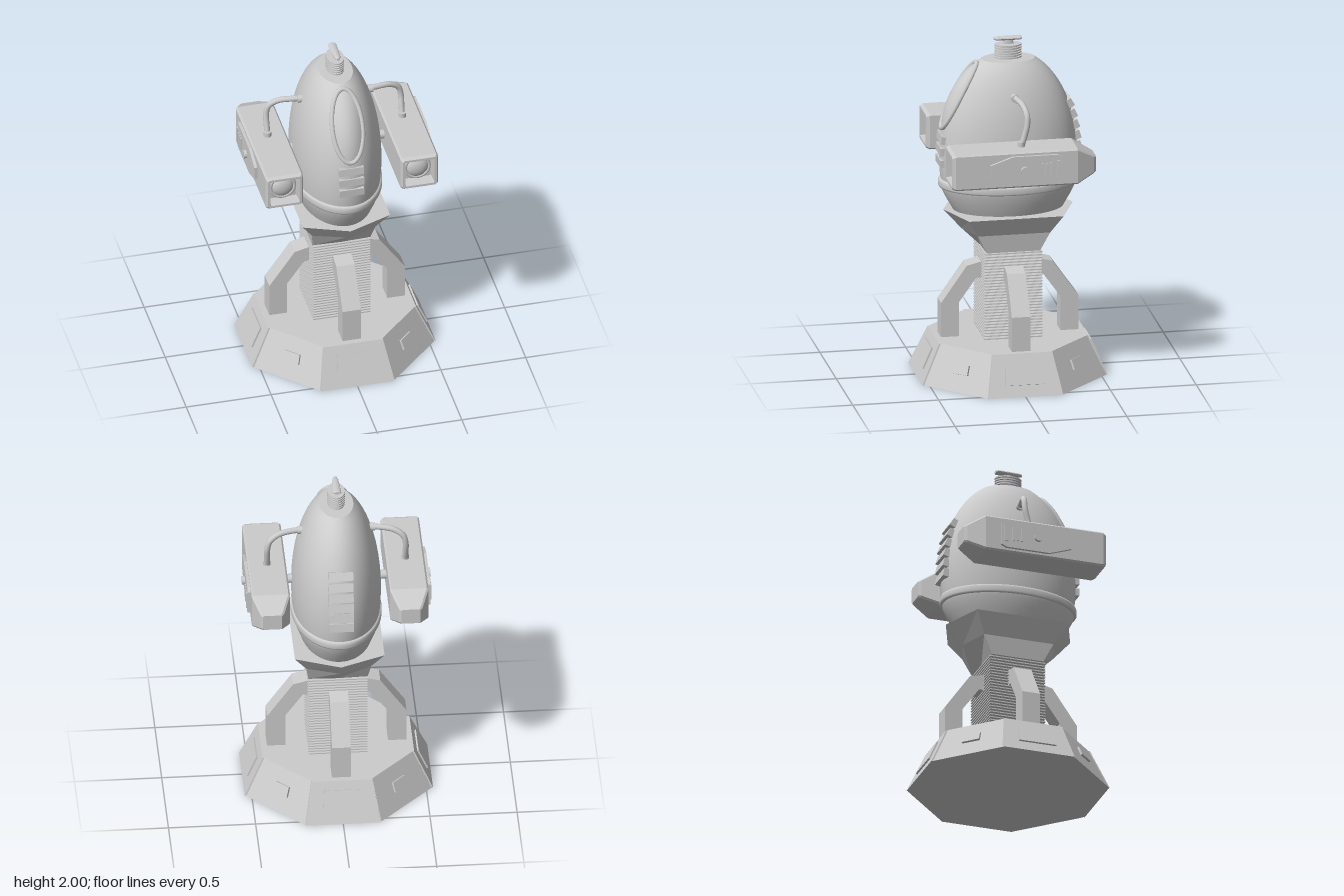
import * as THREE from 'three';

const smooth = new THREE.MeshStandardMaterial({ color: 0xcccccc });
const flat = new THREE.MeshStandardMaterial({ color: 0xcccccc, flatShading: true });
const thin = new THREE.MeshStandardMaterial({ color: 0xcccccc, side: THREE.DoubleSide });
const V = (x, y, z) => new THREE.Vector3(x, y, z);
const OVAL = 0.64; // body width relative to depth

function add(parent, name, geometry, material = flat, x = 0, y = 0, z = 0) {
  const mesh = new THREE.Mesh(geometry, material);
  mesh.name = name;
  mesh.position.set(x, y, z);
  parent.add(mesh);
  return mesh;
}

// Skin a stack of equal-length loops and cap both ends
function loft(loops) {
  const pos = [];
  const tri = (...p) => p.forEach((v) => pos.push(v.x, v.y, v.z));
  const n = loops[0].length;
  for (let i = 0; i < loops.length - 1; i++) {
    for (let j = 0; j < n; j++) {
      const k = (j + 1) % n;
      const [a, b, c, d] = [loops[i][j], loops[i][k], loops[i + 1][k], loops[i + 1][j]];
      tri(a, b, c);
      tri(a, c, d);
    }
  }
  const first = loops[0], last = loops[loops.length - 1];
  for (let j = 1; j < n - 1; j++) {
    tri(first[0], first[j + 1], first[j]);
    tri(last[0], last[j], last[j + 1]);
  }
  const g = new THREE.BufferGeometry();
  g.setAttribute('position', new THREE.Float32BufferAttribute(pos, 3));
  g.computeVertexNormals();
  return g;
}

function ovalLathe(points) {
  const g = new THREE.LatheGeometry(points.map(([r, y]) => new THREE.Vector2(r, y)), 64);
  return g.scale(OVAL, 1, 1);
}

// Egg profile: depth radius at a height, and front surface at (x, y)
const eggR = (y) => 0.4 * Math.sqrt(1 - ((y - 1.3) / 0.618) ** 2);
const eggZ = (x, y) => {
  const r = eggR(y);
  return r * Math.sqrt(Math.max(0, 1 - (x / (OVAL * r)) ** 2));
};
const eggTilt = (y) => Math.atan((eggR(y - 0.01) - eggR(y + 0.01)) / 0.02);

function buildBase(root) {
  const base = new THREE.Group();
  base.name = 'base';
  root.add(base);
  const k = 1 / Math.cos(Math.PI / 8);
  add(base, 'basePlinth', new THREE.CylinderGeometry(0.425 * k, 0.53 * k, 0.23, 8).rotateY(Math.PI / 8), flat, 0, 0.115, 0);
  for (let i = 0; i < 8; i++) {
    const face = new THREE.Group();
    face.name = 'baseFace';
    face.rotation.y = (i * Math.PI) / 4;
    base.add(face);
    const wide = i % 2 === 0;
    if (wide) {
      // Raised cladding on the four main faces
      const row = (y, w, z) => [V(-w, y, z - 0.03), V(w, y, z - 0.03), V(w, y, z), V(-w, y, z)].reverse();
      add(face, 'basePlate', loft([row(0, 0.215, 0.54), row(0.23, 0.175, 0.435)]));
    }
    const [w, h] = wide ? [0.112, 0.065] : [0.055, 0.03];
    const hatch = new THREE.Shape([[-w, -h], [w, -h], [w * 0.92, h], [-w * 0.92, h]].map((p) => new THREE.Vector2(...p)));
    const panel = add(face, 'basePanel', new THREE.ExtrudeGeometry(hatch, { depth: 0.02, bevelEnabled: false }), flat, 0, 0.118, wide ? 0.475 : 0.468);
    panel.rotation.x = -Math.atan(0.105 / 0.23);
  }

  // Bent support legs
  const leg = new THREE.Shape([[0.09, 0.58], [0.195, 0.575], [0.295, 0.435], [0.295, 0.22], [0.4, 0.22], [0.4, 0.435], [0.25, 0.65], [0.09, 0.69]]
    .map((p) => new THREE.Vector2(...p)));
  for (let i = 0; i < 4; i++) {
    const g = new THREE.ExtrudeGeometry(leg, { depth: 0.108, bevelEnabled: false }).translate(0, 0, -0.054);
    add(base, 'supportLeg', g).rotation.y = (i * Math.PI) / 2;
  }

  // Square bellows column
  add(base, 'bellowsCore', new THREE.BoxGeometry(0.22, 0.54, 0.22), flat, 0, 0.49, 0);
  for (let i = 0; i < 30; i++) {
    add(base, 'bellowsPlate', new THREE.BoxGeometry(0.335, 0.007, 0.335), flat, 0, 0.238 + i * 0.0175, 0);
  }
}

function buildBody(root) {
  // Faceted collar
  const hex = (y, x, z, tip) => [V(x, y, z), V(x, y, -z), V(0, y, -tip), V(-x, y, -z), V(-x, y, z), V(0, y, tip)];
  add(root, 'collar', loft([hex(0.755, 0.17, 0.155, 0.162), hex(0.865, 0.187, 0.21, 0.275), hex(0.98, 0.257, 0.275, 0.377)]));
  add(root, 'lowerBody', ovalLathe([[0.26, 0.9], [0.32, 0.98], [0.36, 1.05], [0.385, 1.1], [0.392, 1.13]]), thin);
  add(root, 'bodyRing', ovalLathe([[0.38, 1.118], [0.4, 1.12], [0.406, 1.13], [0.406, 1.155], [0.4, 1.167], [0.38, 1.17]]), smooth);
  const profile = [];
  for (let i = 0; i <= 32; i++) {
    const y = 1.15 + (0.72 * i) / 32;
    profile.push([eggR(y), y]);
  }
  add(root, 'eggBody', ovalLathe(profile), smooth);
  add(root, 'bodyCap', ovalLathe([[eggR(1.87), 1.87], [0, 1.872]]), smooth);

  // Oval window following the body surface
  const rim = [];
  for (let i = 0; i < 48; i++) {
    const a = (i / 48) * Math.PI * 2;
    const x = 0.088 * Math.cos(a), y = 1.662 + 0.19 * Math.sin(a);
    rim.push(V(x, y, eggZ(x, y) + 0.004));
  }
  add(root, 'windowRim', new THREE.TubeGeometry(new THREE.CatmullRomCurve3(rim, true), 96, 0.014, 10, true), smooth);
  const glass = new THREE.RingGeometry(0.001, 1, 48, 10);
  const p = glass.attributes.position;
  for (let i = 0; i < p.count; i++) {
    const d = Math.hypot(p.getX(i), p.getY(i));
    const x = p.getX(i) * 0.088, y = 1.662 + p.getY(i) * 0.19;
    p.setXYZ(i, x, y, eggZ(x, y) + 0.004 + 0.012 * (1 - d * d));
  }
  glass.computeVertexNormals();
  add(root, 'windowGlass', glass, thin);

  // Front vents and rear louvres
  for (const y of [1.412, 1.343, 1.274]) {
    add(root, 'frontVent', new THREE.BoxGeometry(0.145, 0.045, 0.06), flat, 0, y, eggR(y) - 0.022).rotation.x = -eggTilt(y);
  }
  for (let i = 0; i < 6; i++) {
    const y = 1.275 + i * 0.063;
    const slat = add(root, 'rearLouvre', new THREE.BoxGeometry(0.142, 0.05, 0.06), flat, 0, y, -eggR(y) + 0.015);
    slat.rotation.x = eggTilt(y) + 0.2;
  }

  // Ribbed neck and antenna on top
  add(root, 'neckCore', new THREE.CylinderGeometry(0.065, 0.065, 0.08, 32).scale(OVAL, 1, 1), smooth, 0, 1.91, 0);
  for (let i = 0; i < 6; i++) {
    add(root, 'neckRib', new THREE.CylinderGeometry(0.079, 0.079, 0.008, 32).scale(OVAL, 1, 1), smooth, 0, 1.878 + i * 0.0145, 0);
  }
  add(root, 'antennaStem', new THREE.CylinderGeometry(0.01, 0.014, 0.04, 16).scale(1, 1, 2.5), smooth, 0, 1.965, 0);
  const ring = (z, w, h) => Array.from({ length: 12 }, (_, i) => {
    const a = (i / 12) * Math.PI * 2;
    return V(w * Math.cos(a), 1.988 + h * Math.sin(a), z);
  });
  add(root, 'antennaBlade', loft([ring(-0.077, 0.018, 0.008), ring(-0.068, 0.025, 0.012), ring(0.06, 0.018, 0.012), ring(0.082, 0.01, 0.008)]));
}

function buildPod(root, s) {
  const pod = new THREE.Group();
  pod.name = s > 0 ? 'leftPod' : 'rightPod';
  pod.position.set(s * 0.397, 1.355, 0);
  root.add(pod);

  // Housing with tapered tail and square recessed muzzle
  const rect = (z, w, h, c = 0.01, dy = 0) => [[w, -h + c], [w, h - c], [w - c, h], [-w + c, h], [-w, h - c], [-w, -h + c], [-w + c, -h], [w - c, -h]]
    .map(([x, y]) => V(x, y + dy, z));
  add(pod, 'podHousing', loft([
    rect(-0.425, 0.055, 0.048, 0.008, -0.006), rect(-0.41, 0.068, 0.056, 0.01, -0.006), rect(-0.31, 0.11, 0.107),
    rect(0.4, 0.11, 0.107), rect(0.42, 0.1, 0.097), rect(0.42, 0.086, 0.083, 0.004), rect(0.35, 0.08, 0.078, 0.004),
  ]));
  add(pod, 'lensRing', new THREE.TorusGeometry(0.07, 0.01, 10, 40), smooth, 0, 0, 0.355);
  add(pod, 'lens', new THREE.SphereGeometry(0.066, 32, 16).scale(1, 1, 0.5), smooth, 0, 0, 0.35);

  // Outer side panel, knob and slots
  const outline = [[0.2, -0.04], [0.07, -0.085], [-0.19, -0.085], [-0.222, -0.07], [-0.222, 0.07], [-0.19, 0.085], [0.07, 0.085], [0.2, 0.04]];
  const side = new THREE.Shape(outline.map(([z, y]) => new THREE.Vector2(-s * z, y)));
  add(pod, 'sidePanel', new THREE.ExtrudeGeometry(side, { depth: 0.02, bevelEnabled: false }).rotateY((s * Math.PI) / 2), flat, s * 0.107, 0, 0);
  add(pod, 'sideKnob', new THREE.CylinderGeometry(0.025, 0.025, 0.03, 24).rotateZ(Math.PI / 2), smooth, s * 0.128, 0, 0);
  for (const z of [-0.1, -0.125, -0.15]) {
    add(pod, 'sideSlot', new THREE.BoxGeometry(0.02, 0.08, 0.012), flat, s * 0.125, 0, z);
  }
  add(pod, 'sideHandle', new THREE.BoxGeometry(0.014, 0.1, 0.02), flat, s * 0.128, 0, -0.195);

  // Axle into the body
  add(pod, 'podAxle', new THREE.CylinderGeometry(0.026, 0.026, 0.12, 24).rotateZ(Math.PI / 2), smooth, -s * 0.15, 0, 0);

  // Curved hose from body to pod top
  const path = [[0.18, 1.69, 0], [0.24, 1.692, -0.006], [0.33, 1.682, -0.024], [0.382, 1.645, -0.036], [0.397, 1.59, -0.036], [0.397, 1.52, -0.02], [0.397, 1.455, 0]]
    .map(([x, y, z]) => V(s * x, y, z));
  add(root, 'hose', new THREE.TubeGeometry(new THREE.CatmullRomCurve3(path), 40, 0.017, 12), smooth);
  add(root, 'hoseCollar', new THREE.CylinderGeometry(0.023, 0.023, 0.03, 20).rotateZ(Math.PI / 2), smooth, s * 0.208, 1.69, 0);
  add(root, 'hoseSocket', new THREE.CylinderGeometry(0.022, 0.022, 0.03, 20), smooth, s * 0.397, 1.475, 0);
}

export function createModel() {
  const root = new THREE.Group();
  root.name = 'sentryRobot';
  buildBase(root);
  buildBody(root);
  for (const s of [1, -1]) buildPod(root, s);
  return root;
}
